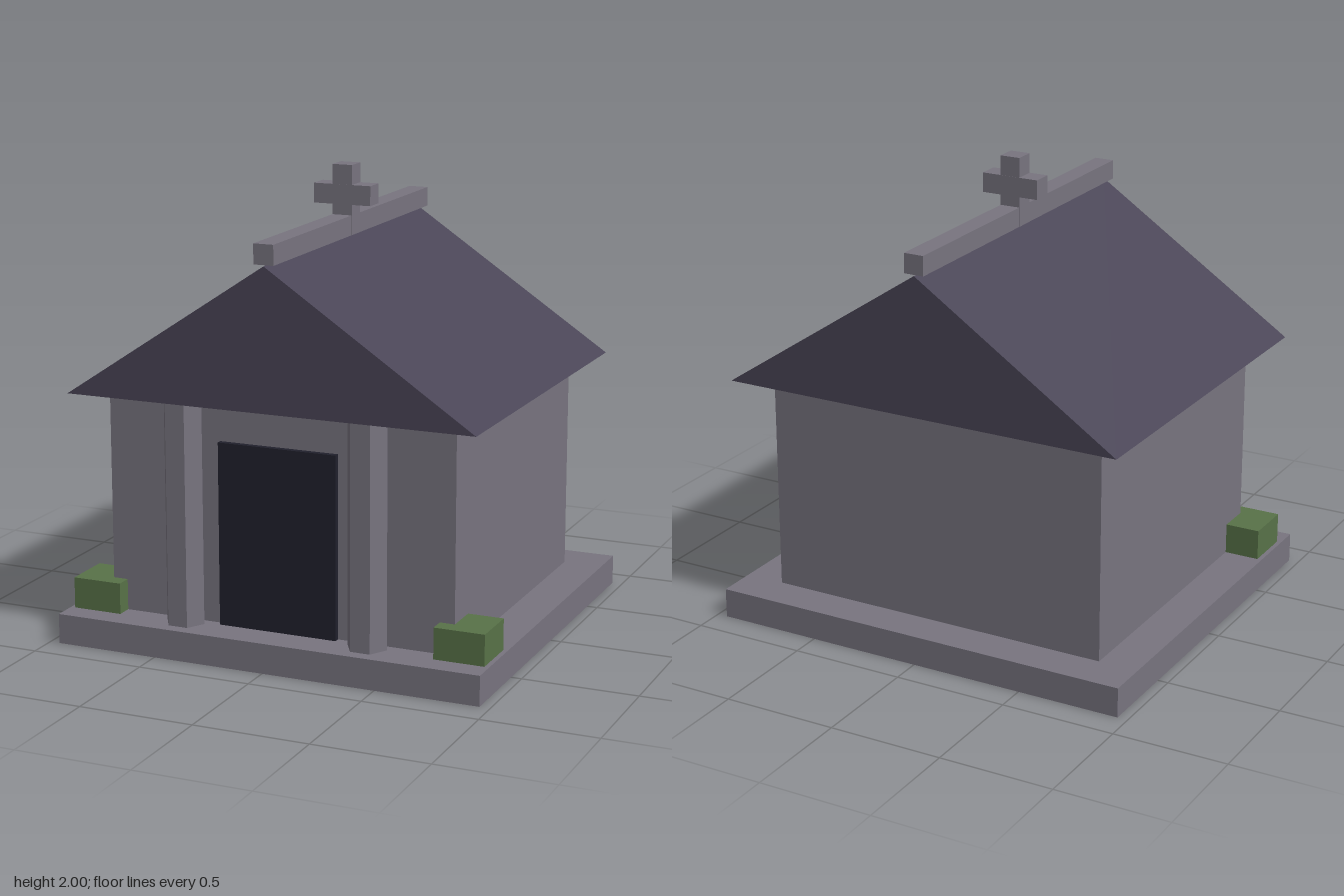
import * as THREE from 'three';

const stone = new THREE.MeshStandardMaterial({ color: 0x78747f });
stone.name = 'stone';
const slate = new THREE.MeshStandardMaterial({ color: 0x4a4556 });
slate.name = 'slate';
const darkWood = new THREE.MeshStandardMaterial({ color: 0x20202c });
darkWood.name = 'darkWood';
const leaf = new THREE.MeshStandardMaterial({ color: 0x587248 });
leaf.name = 'leaf';
for (const m of [stone, slate, darkWood, leaf]) m.flatShading = true;

export function createModel() {
  const model = new THREE.Group();
  model.name = 'chapel';

  const add = (name, geometry, material, x, y, z) => {
    const mesh = new THREE.Mesh(geometry, material);
    mesh.name = name;
    mesh.position.set(x, y, z);
    model.add(mesh);
    return mesh;
  };
  // Box given by its size and the height of its underside
  const box = (name, material, w, h, d, x, y0, z) =>
    add(name, new THREE.BoxGeometry(w, h, d), material, x, y0 + h / 2, z);

  // Plinth and walls
  box('plinth', stone, 1.91, 0.13, 1.74, 0, 0, 0);
  box('walls', stone, 1.56, 0.96, 1.39, 0, 0.13, 0);

  // Door
  box('door', darkWood, 0.53, 0.79, 0.05, 0, 0.13, 0.695);

  // Hexagonal columns and bushes, one of each per side
  for (const [side, s] of [['left', 1], ['right', -1]]) {
    const column = add(side + 'Column', new THREE.CylinderGeometry(0.087, 0.087, 0.96, 6),
      stone, s * 0.415, 0.61, 0.74);
    column.rotation.y = Math.PI / 6;
    box(side + 'Bush', leaf, 0.22, 0.135, 0.22, s * 0.825, 0.13, 0.655);
  }

  // Solid gabled roof
  const gable = new THREE.Shape([
    new THREE.Vector2(-0.91, 0),
    new THREE.Vector2(0.91, 0),
    new THREE.Vector2(0, 0.605),
  ]);
  add('roof', new THREE.ExtrudeGeometry(gable, { depth: 1.65, bevelEnabled: false }),
    slate, 0, 1.09, -0.825);

  // Ridge beam and cross
  box('ridgeBeam', stone, 0.088, 0.085, 1.65, 0, 1.7, 0);
  box('crossPost', stone, 0.09, 0.3, 0.09, 0, 1.7, 0);
  box('crossBar', stone, 0.26, 0.085, 0.092, 0, 1.83, 0);

  return model;
}
